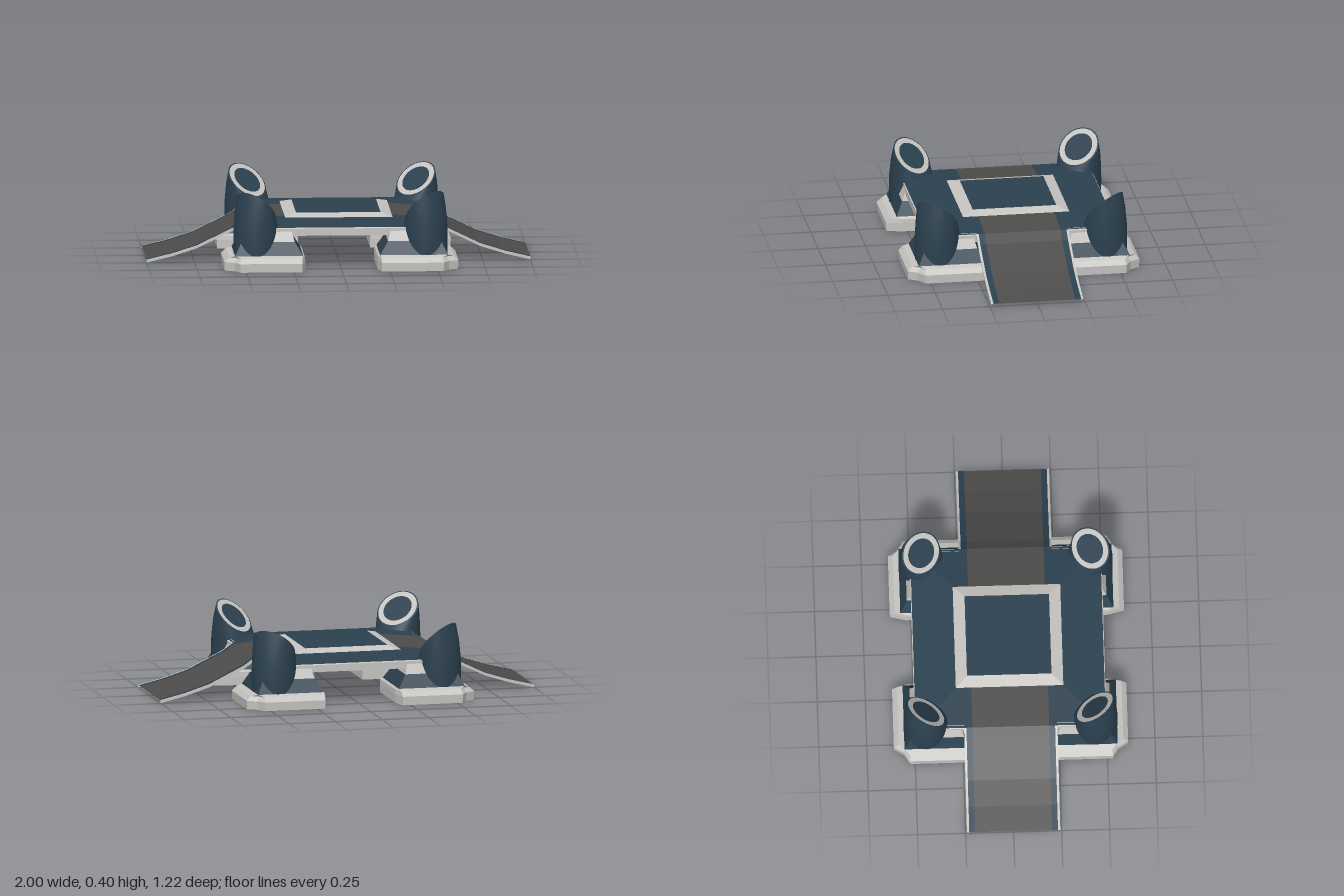
import * as THREE from 'three';

const paint = (name, color) => {
  const m = new THREE.MeshStandardMaterial({ color, side: THREE.DoubleSide });
  m.name = name;
  return m;
};

export function createModel() {
  const model = new THREE.Group();
  model.name = 'landingPlatform';
  const navy = paint('navy', 0x2b404f);
  const pale = paint('paleGrey', 0xc6c4c1);
  const dark = paint('darkGrey', 0x4d4c4b);

  // Sheet skinned over successive cross-sections; flat or smooth
  function loft(name, mat, rows, { closed = false, smooth = false, parent = model } = {}) {
    const n = rows[0].length, index = [];
    for (let i = 0; i < rows.length - 1; i++) {
      for (let j = 0; j < (closed ? n : n - 1); j++) {
        const k = (j + 1) % n;
        const a = i * n + j, b = i * n + k, c = a + n, d = b + n;
        index.push(a, b, d, a, d, c);
      }
    }
    let g = new THREE.BufferGeometry();
    g.setAttribute('position', new THREE.Float32BufferAttribute(rows.flat(2), 3));
    g.setIndex(index);
    if (!smooth) g = g.toNonIndexed();
    g.computeVertexNormals();
    const mesh = new THREE.Mesh(g, mat);
    mesh.name = name;
    parent.add(mesh);
    return mesh;
  }

  // Raised deck: concentric squares stepping down from the centre
  const square = (h, y) => [[h, y, h], [h, y, -h], [-h, y, -h], [-h, y, h]];
  const E = 0.495, EY = 0.217, F = 0.28, FY = 0.236;
  loft('centrePanel', navy, [[[-0.22, 0.253, 0.22], [0.22, 0.253, 0.22]],
    [[-0.22, 0.253, -0.22], [0.22, 0.253, -0.22]]]);
  loft('panelFrame', pale, [square(F, FY), square(0.22, 0.253)], { closed: true });
  for (const s of [1, -1]) {
    loft('deckSlope', navy, [[[-E, EY, s * E], [E, EY, s * E]], [[-F, FY, s * F], [F, FY, s * F]]]);
    // Pale edge strip and skirt
    loft('deckLip', pale, [
      [[-E, EY + 0.001, s * (E - 0.015)], [E, EY + 0.001, s * (E - 0.015)]],
      [[-E, EY - 0.005, s * (E + 0.004)], [E, EY - 0.005, s * (E + 0.004)]],
      [[-E, 0.175, s * (E + 0.004)], [E, 0.175, s * (E + 0.004)]]]);
  }

  // Ramps, one each side, with the roadway continuing over the deck slope
  const path = [[E, EY], [0.55, 0.178], [0.74, 0.086], [0.87, 0.045], [1, 0.014]];
  for (const s of [1, -1]) {
    const ramp = new THREE.Group();
    ramp.name = s > 0 ? 'leftRamp' : 'rightRamp';
    ramp.scale.x = s;
    model.add(ramp);
    const strip = (name, mat, pts, z0, z1, drop = 0) => loft(name, mat,
      pts.map(([x, y]) => [[x, y, z0], [x, Math.max(0, y - drop), z1]]), { parent: ramp });
    strip('roadway', dark, [[F, FY], ...path], -0.2, 0.2);
    for (const t of [1, -1]) {
      loft('deckShoulder', navy, [[[F, FY, t * 0.2], [F, FY, t * F]], [[E, EY, t * 0.2], [E, EY, t * E]]],
        { parent: ramp });
      strip('rampBand', navy, path, t * 0.2, t * 0.231);
      strip('rampKerb', pale, path, t * 0.231, t * 0.243);
      strip('rampEdge', pale, path, t * 0.243, t * 0.243, 0.014);
      loft('sideLip', pale, [
        [[E - 0.014, EY + 0.002, t * 0.24], [E - 0.014, EY + 0.002, t * E]],
        [[E + 0.004, EY - 0.005, t * 0.24], [E + 0.004, EY - 0.005, t * E]],
        [[E + 0.004, 0.175, t * 0.24], [E + 0.004, 0.175, t * E]]], { parent: ramp });
    }
  }

  // Hollow foot outline, chamfered on the outer corner
  const footRing = (y, inner, outer, cut) => [
    [inner, y, inner], [outer - cut, y, inner], [outer, y, inner + cut * 0.25],
    [outer, y, outer - cut], [outer - cut * 0.62, y, outer - cut * 0.62], [outer - cut, y, outer],
    [inner + cut * 0.25, y, outer], [inner, y, outer - cut]];
  const legRing = (y, inner, outer) => [
    [inner, y, inner], [outer, y, inner], [outer, y, outer], [inner, y, outer]];

  // Pylon section: a circle about the corner axis, tilted up towards the outside
  const C = 0.44, R2 = Math.SQRT1_2;
  const tiltedRing = (y, r, deg, lift = 0) => Array.from({ length: 40 }, (_, i) => {
    const a = i / 40 * Math.PI * 2, q = THREE.MathUtils.degToRad(deg);
    const u = r * Math.cos(a) * Math.cos(q) - lift * Math.sin(q), v = r * Math.sin(a);
    return [C + (u - v) * R2, y + r * Math.cos(a) * Math.sin(q) + lift * Math.cos(q), C + (u + v) * R2];
  });

  for (const sx of [1, -1]) for (const sz of [1, -1]) {
    const parent = new THREE.Group();
    parent.name = (sz > 0 ? 'front' : 'back') + (sx > 0 ? 'Left' : 'Right') + 'Support';
    parent.scale.set(sx, 1, sz);
    model.add(parent);
    const ring = { closed: true, parent }, round = { closed: true, smooth: true, parent };

    loft('foot', pale, [footRing(0, 0.188, 0.608, 0.08), footRing(0.045, 0.188, 0.61, 0.08),
      footRing(0.068, 0.19, 0.585, 0.06), footRing(0.078, 0.2, 0.555, 0.005)], ring);
    loft('lowerLeg', navy, [legRing(0.077, 0.2, 0.555), legRing(0.147, 0.243, 0.52)], ring);
    loft('upperLeg', pale, [legRing(0.147, 0.243, 0.52), legRing(0.214, 0.262, 0.492)], ring);

    loft('pylon', navy, [tiltedRing(0.07, 0.117, 0), tiltedRing(0.14, 0.118, 0),
      tiltedRing(0.2, 0.118, 12), tiltedRing(0.265, 0.117, 29), tiltedRing(0.322, 0.115, 45)], round);
    loft('pylonBase', navy, [tiltedRing(0.07, 0.117, 0), tiltedRing(0.07, 0.0005, 0)], round);
    // Lamp face: dark rim, pale ring, dark lens
    loft('lampRim', navy, [tiltedRing(0.322, 0.115, 45), tiltedRing(0.322, 0.108, 45, 0.002)], round);
    loft('lampRing', pale, [tiltedRing(0.322, 0.108, 45, 0.002), tiltedRing(0.322, 0.079, 45, 0.002)], round);
    loft('lampLens', navy, [tiltedRing(0.322, 0.079, 45, 0.002), tiltedRing(0.322, 0.0005, 45, 0.002)], round);
  }
  return model;
}
